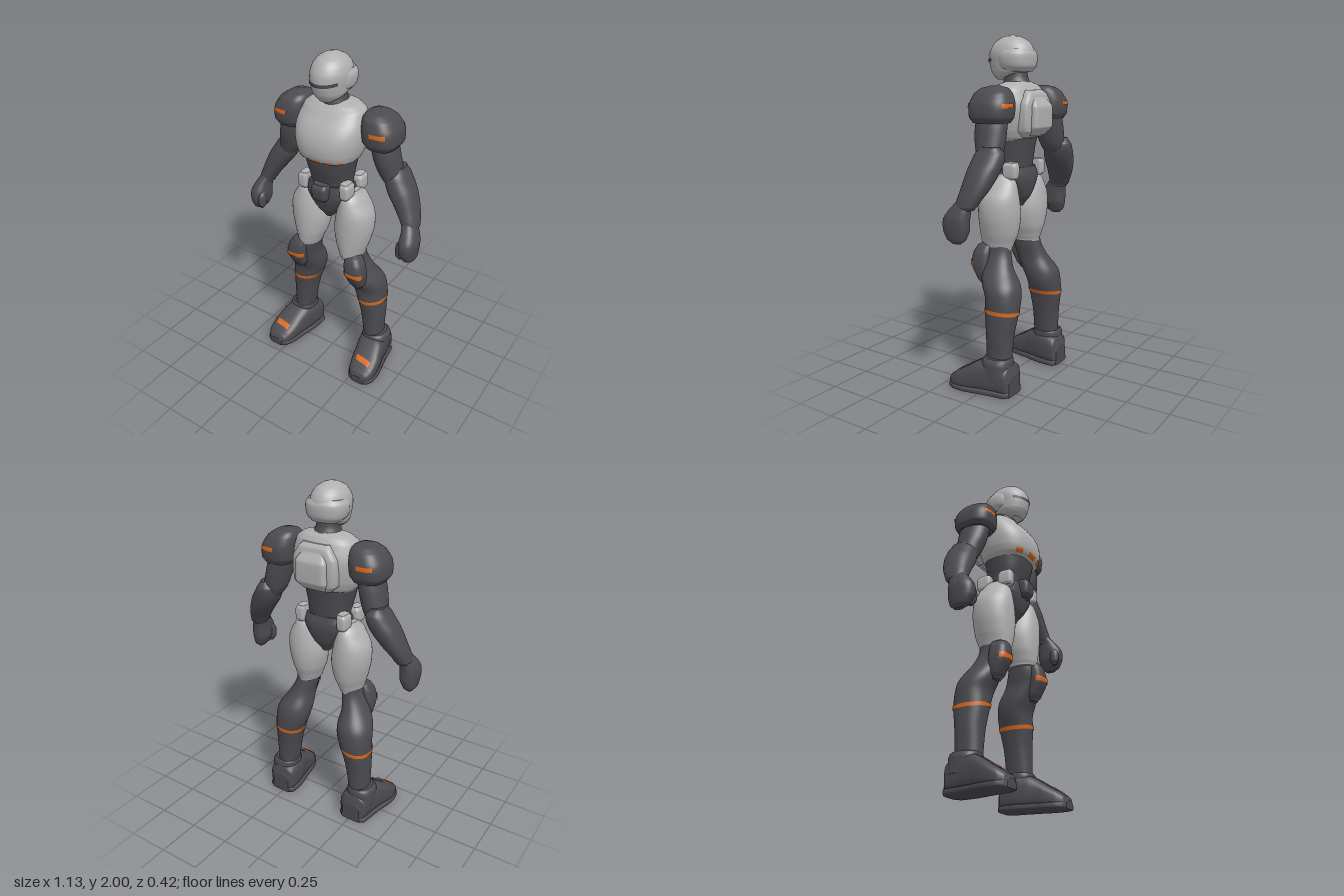
import * as THREE from 'three';

const mat = (name, color) => { const m = new THREE.MeshStandardMaterial({ color }); m.name = name; return m; };

// Ring parameters [y, cx, cz, rx, rz] at height y, smoothly interpolated between sections
function ringAt(secs, y) {
  let i = 0;
  while (i < secs.length - 2 && y > secs[i + 1][0]) i++;
  const at = k => secs[Math.min(Math.max(k, 0), secs.length - 1)];
  const [p, a, b, q] = [at(i - 1), at(i), at(i + 1), at(i + 2)];
  const t = (y - a[0]) / (b[0] - a[0]);
  return a.map((v, k) => k === 0 ? y : 0.5 * (2 * v + (b[k] - p[k]) * t
    + (2 * p[k] - 5 * v + 4 * b[k] - q[k]) * t * t + (3 * v - p[k] - 3 * b[k] + q[k]) * t * t * t));
}

// Point on a superellipse ring; angle 0 faces +z, a quarter turn faces +x
function ringPoint([y, cx, cz, rx, rz], a, e, grow = 0) {
  const pow = v => Math.sign(v) * Math.pow(Math.abs(v), 2 / e);
  return [cx + (rx + grow) * pow(Math.sin(a)), y, cz + (rz + grow) * pow(Math.cos(a))];
}

function build(pos, idx) {
  const g = new THREE.BufferGeometry();
  g.setAttribute('position', new THREE.Float32BufferAttribute(pos, 3));
  g.setIndex(idx);
  g.computeVertexNormals();
  return g;
}

// Closed body skinned over the sections
function loft(secs, e = 2, n = 40, sub = 5) {
  const pos = [], idx = [], rings = [];
  secs.forEach((s, i) => {
    if (i) for (let k = 1; k <= sub; k++) rings.push(ringAt(secs, secs[i - 1][0] + (s[0] - secs[i - 1][0]) * k / sub));
    else rings.push(s);
  });
  const addRing = r => { for (let j = 0; j < n; j++) pos.push(...ringPoint(r, j / n * Math.PI * 2, e)); };
  rings.forEach(addRing);
  for (let i = 0; i < rings.length - 1; i++) for (let j = 0; j < n; j++) {
    const k = (j + 1) % n, a = i * n + j, b = i * n + k;
    idx.push(a, b, b + n, a, b + n, a + n);
  }
  [rings[0], rings[rings.length - 1]].forEach((r, top) => {
    const base = pos.length / 3;
    addRing(r);
    pos.push(r[1], r[0], r[2]);
    for (let j = 0; j < n; j++) {
      const k = (j + 1) % n;
      idx.push(base + n, base + (top ? j : k), base + (top ? k : j));
    }
  });
  return build(pos, idx);
}

// Thin painted band lying just above a lofted surface
function band(secs, e, y0, y1, a0, a1, lift = () => 0, grow = 0.004) {
  const pos = [], idx = [], rows = 4, n = 40;
  for (let i = 0; i <= rows; i++) for (let j = 0; j <= n; j++) {
    const a = a0 + (a1 - a0) * j / n;
    pos.push(...ringPoint(ringAt(secs, y0 + (y1 - y0) * i / rows + lift(a)), a, e, grow));
  }
  for (let i = 0; i < rows; i++) for (let j = 0; j < n; j++) {
    const a = i * (n + 1) + j, d = a + n + 1;
    idx.push(a, a + 1, d + 1, a, d + 1, d);
  }
  return build(pos, idx);
}

export function createModel() {
  const light = mat('lightGreyArmour', 0xb0b0b0);
  const dark = mat('darkGreySuit', 0x4b4b50);
  const orange = mat('orangeStripe', 0xd9681c);
  orange.side = THREE.DoubleSide;
  const root = new THREE.Group();
  root.name = 'armouredFigure';
  const add = (name, geo, m, parent = root) => {
    const mesh = new THREE.Mesh(geo, m);
    mesh.name = name;
    parent.add(mesh);
    return mesh;
  };

  // Head: helmet, raised band round the sides and back, visor slit
  const head = [[1.755, 0, 0.065, 0.04, 0.03], [1.775, 0, 0.035, 0.072, 0.078], [1.8, 0, 0.018, 0.09, 0.112],
    [1.85, 0, 0.012, 0.1, 0.132], [1.9, 0, 0.007, 0.106, 0.135], [1.94, 0, 0.005, 0.095, 0.119],
    [1.97, 0, 0.005, 0.073, 0.092], [1.99, 0, 0.005, 0.042, 0.052], [2.0, 0, 0.005, 0.008, 0.01]];
  add('helmet', loft(head), light);
  add('helmetBand', loft([[1.8, 0, -0.035, 0.085, 0.07], [1.825, 0, -0.03, 0.107, 0.097], [1.86, 0, -0.028, 0.116, 0.105],
    [1.895, 0, -0.028, 0.115, 0.104], [1.92, 0, -0.028, 0.1, 0.09]], 2.3), light);
  add('visorSlit', band(head, 2, 1.847, 1.866, -0.98, 0.98, a => 0.02 * (1 - Math.cos(a))), dark);
  add('neck', loft([[1.69, 0, -0.03, 0.1, 0.09], [1.735, 0, -0.025, 0.078, 0.078], [1.77, 0, -0.02, 0.066, 0.068],
    [1.82, 0, -0.01, 0.07, 0.07]]), dark);

  // Torso
  const chest = [[1.42, 0, 0.012, 0.148, 0.125], [1.44, 0, 0.018, 0.168, 0.15], [1.48, 0, 0.016, 0.185, 0.166],
    [1.55, 0, 0.008, 0.199, 0.172], [1.62, 0, -0.008, 0.2, 0.158], [1.7, 0, -0.028, 0.177, 0.113],
    [1.728, 0, -0.033, 0.14, 0.088], [1.745, 0, -0.035, 0.08, 0.06]];
  add('chestArmour', loft(chest, 2.4, 56), light);
  [[-0.8, -0.48], [-0.2, 0.13], [0.28, 0.56], [0.7, 0.88]].forEach(([a, b]) =>
    add('chestHemStripe', band(chest, 2.4, 1.432, 1.455, a, b), orange));
  add('backFrame', loft([[1.44, 0, -0.12, 0.09, 0.03], [1.48, 0, -0.13, 0.13, 0.05], [1.62, 0, -0.13, 0.135, 0.055],
    [1.68, 0, -0.125, 0.1, 0.05], [1.7, 0, -0.12, 0.085, 0.03]], 5), light);
  add('backPack', loft([[1.45, 0, -0.15, 0.07, 0.025], [1.49, 0, -0.15, 0.092, 0.06], [1.51, 0, -0.15, 0.095, 0.065],
    [1.6, 0, -0.15, 0.095, 0.065], [1.62, 0, -0.15, 0.09, 0.058], [1.66, 0, -0.14, 0.068, 0.04]], 7), light);
  add('abdomen', loft([[1.2, 0, 0, 0.13, 0.1], [1.28, 0, 0, 0.122, 0.105], [1.36, 0, 0.008, 0.136, 0.122],
    [1.46, 0, 0.01, 0.155, 0.138]], 2.3), dark);
  add('pelvis', loft([[1.04, 0, -0.005, 0.025, 0.06], [1.1, 0, -0.005, 0.068, 0.1], [1.18, 0, -0.003, 0.125, 0.118],
    [1.23, 0, -0.003, 0.142, 0.115], [1.27, 0, 0, 0.13, 0.105]], 3), dark);
  add('beltBuckle', loft([[1.175, 0, 0.1, 0.032, 0.035], [1.2, 0, 0.105, 0.046, 0.05], [1.26, 0, 0.11, 0.05, 0.05],
    [1.285, 0, 0.105, 0.043, 0.04]], 4), dark);

  // Limbs and everything else that comes in pairs
  for (const s of [1, -1]) {
    const side = new THREE.Group();
    side.name = s > 0 ? 'leftSide' : 'rightSide';
    root.add(side);
    const flip = secs => secs.map(([y, cx, cz, rx, rz]) => [y, s * cx, cz, rx, rz]);
    const part = (name, secs, m, e = 2) => add(name, loft(flip(secs), e), m, side);
    const stripe = (name, secs, e, y0, y1, a0, a1, lift) =>
      add(name, band(flip(secs), e, y0, y1, s > 0 ? a0 : -a1, s > 0 ? a1 : -a0, lift), orange, side);

    // Belt pouches
    for (const z of [0.068, -0.075]) part('beltPouch', [[1.21, 0.135, z, 0.022, 0.035], [1.225, 0.138, z, 0.029, 0.044],
      [1.285, 0.137, z, 0.03, 0.045], [1.305, 0.132, z, 0.024, 0.036]], light, 4);

    // Arm
    const pad = [[1.53, 0.287, -0.052, 0.08, 0.1], [1.56, 0.287, -0.052, 0.1, 0.117], [1.63, 0.281, -0.052, 0.101, 0.12],
      [1.685, 0.265, -0.05, 0.084, 0.1], [1.712, 0.252, -0.05, 0.058, 0.07], [1.724, 0.245, -0.05, 0.02, 0.028]];
    part('shoulderPad', pad, dark, 2.7);
    stripe('shoulderStripeFront', pad, 2.7, 1.61, 1.633, -0.08, 0.62);
    stripe('shoulderStripeBack', pad, 2.7, 1.61, 1.633, Math.PI - 0.62, Math.PI + 0.08);
    part('upperArm', [[1.28, 0.375, -0.075, 0.045, 0.06], [1.365, 0.335, -0.07, 0.066, 0.075], [1.45, 0.312, -0.06, 0.071, 0.09],
      [1.54, 0.29, -0.055, 0.07, 0.092], [1.64, 0.25, -0.05, 0.065, 0.08]], dark);
    part('forearm', [[1.09, 0.493, -0.025, 0.038, 0.052], [1.11, 0.49, -0.032, 0.046, 0.062], [1.2, 0.447, -0.06, 0.064, 0.08],
      [1.29, 0.397, -0.078, 0.078, 0.09], [1.37, 0.363, -0.09, 0.062, 0.085], [1.41, 0.365, -0.095, 0.035, 0.055]], dark, 2.3);
    part('hand', [[0.91, 0.522, 0.012, 0.015, 0.028], [0.93, 0.52, 0.015, 0.033, 0.055], [0.98, 0.513, 0.02, 0.048, 0.076],
      [1.04, 0.512, 0.018, 0.05, 0.076], [1.09, 0.503, 0, 0.042, 0.062], [1.14, 0.483, -0.02, 0.035, 0.045]], dark, 2.4);
    part('thumb', [[0.935, 0.482, 0.06, 0.01, 0.013], [0.96, 0.478, 0.062, 0.021, 0.026], [1.02, 0.48, 0.06, 0.024, 0.028],
      [1.06, 0.49, 0.04, 0.018, 0.02]], dark);

    // Leg
    part('thigh', [[0.805, 0.15, 0.008, 0.064, 0.09], [0.83, 0.147, 0.008, 0.07, 0.098], [0.9, 0.144, 0, 0.095, 0.115],
      [1.0, 0.147, -0.005, 0.114, 0.124], [1.1, 0.152, -0.005, 0.104, 0.12], [1.19, 0.14, -0.005, 0.066, 0.1],
      [1.24, 0.135, -0.005, 0.035, 0.06]], light);
    const shin = [[0.15, 0.27, -0.078, 0.06, 0.075], [0.22, 0.262, -0.078, 0.061, 0.077], [0.35, 0.254, -0.08, 0.074, 0.082],
      [0.465, 0.24, -0.082, 0.086, 0.097], [0.55, 0.223, -0.08, 0.102, 0.1], [0.62, 0.212, -0.058, 0.1, 0.108],
      [0.7, 0.19, -0.02, 0.074, 0.096], [0.78, 0.165, 0, 0.06, 0.086], [0.86, 0.158, 0.002, 0.054, 0.08]];
    part('lowerLeg', shin, dark, 2.2);
    stripe('shinStripe', shin, 2.2, 0.46, 0.482, -Math.PI, Math.PI, a => 0.012 * Math.sin(a));
    const knee = [[0.61, 0.208, 0.045, 0.028, 0.025], [0.64, 0.208, 0.052, 0.048, 0.038], [0.72, 0.206, 0.07, 0.06, 0.058],
      [0.79, 0.196, 0.068, 0.058, 0.056], [0.83, 0.185, 0.06, 0.045, 0.045], [0.845, 0.18, 0.055, 0.025, 0.025]];
    part('kneePad', knee, dark, 2.8);
    stripe('kneeStripe', knee, 2.8, 0.715, 0.745, -1.2, 1.2);

    // Boot, skinned from heel to toe: [z, x, -middle height, half width, half height]
    const along = (rows, grow = 0, cap = 1) => rows.map(([z, x, h, w]) => {
      const k = Math.min(h, cap) / 2;
      return [z, x, -k, w + grow, k];
    });
    const boot = [[-0.183, 0.265, 0.12, 0.058], [-0.165, 0.266, 0.175, 0.083], [-0.08, 0.272, 0.2, 0.09], [0, 0.286, 0.195, 0.09],
      [0.05, 0.298, 0.168, 0.09], [0.1, 0.306, 0.135, 0.09], [0.16, 0.312, 0.1, 0.08], [0.195, 0.314, 0.072, 0.06], [0.207, 0.315, 0.05, 0.038]];
    const bootSecs = along(boot);
    const lay = mesh => { mesh.rotation.x = Math.PI / 2; return mesh; };
    lay(part('boot', bootSecs, dark, 3));
    lay(part('bootSole', along(boot, 0.006, 0.035), dark, 5));
    lay(stripe('bootStripe', bootSecs, 3, 0.115, 0.145, Math.PI - 0.42, Math.PI + 0.42, a => 0.02 * Math.sin(a)));
    part('ankleCuff', [[0.1, 0.282, -0.085, 0.082, 0.085], [0.185, 0.281, -0.08, 0.082, 0.086], [0.205, 0.278, -0.08, 0.077, 0.082],
      [0.215, 0.275, -0.08, 0.066, 0.074]], dark, 2.6);
  }
  return root;
}
